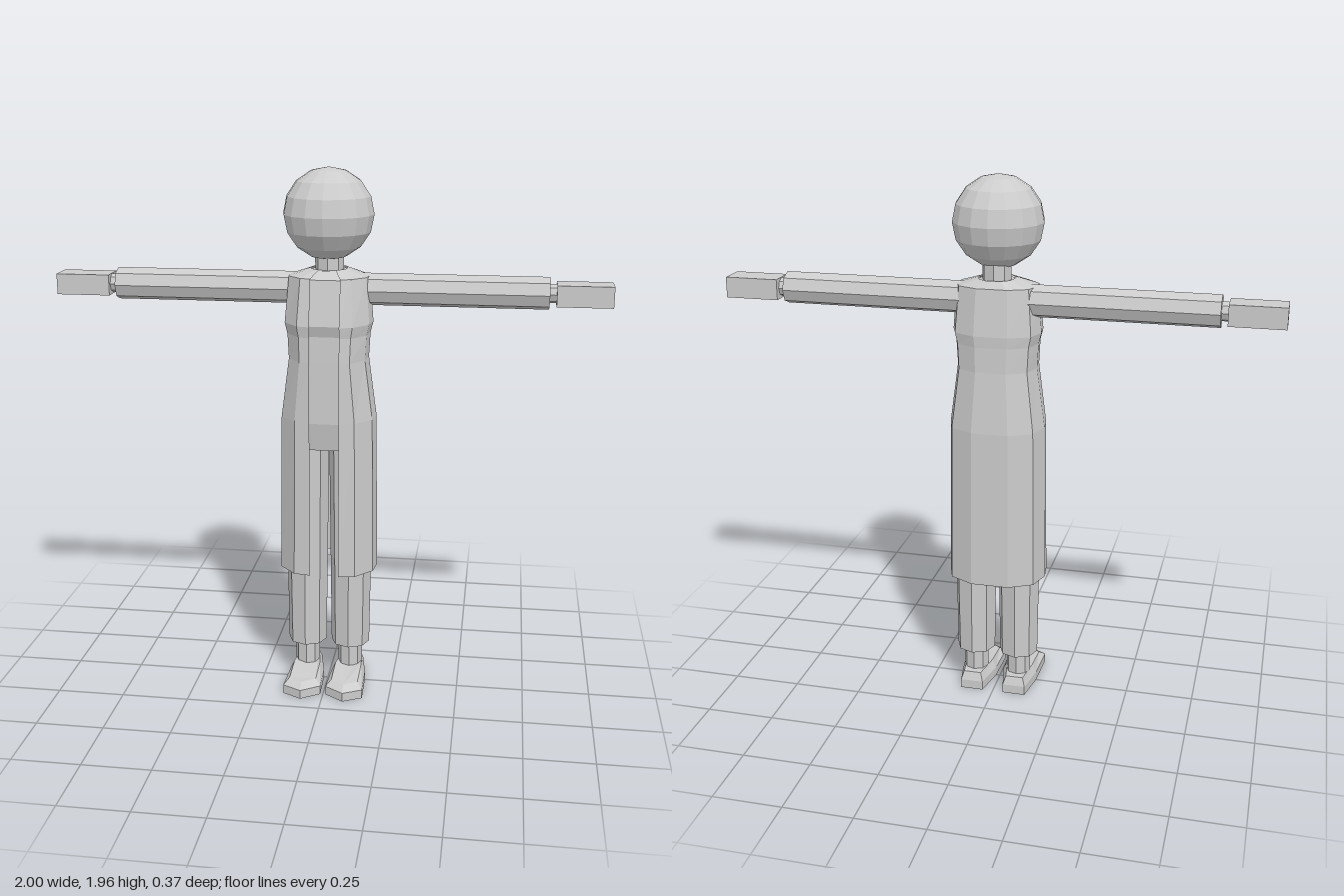
import * as THREE from 'three';

const material = new THREE.MeshStandardMaterial({ color: 0xcccccc, flatShading: true });
const clothMaterial = new THREE.MeshStandardMaterial({ color: 0xcccccc, flatShading: true, side: THREE.DoubleSide });

// Joins rings of [x, y, z] points, listed bottom to top, counterclockwise from above.
function loft(rings, closed) {
  const n = rings[0].length, pos = [];
  const tri = (a, b, c) => pos.push(...a, ...b, ...c);
  for (let i = 0; i < rings.length - 1; i++) {
    for (let j = 0; j < (closed ? n : n - 1); j++) {
      const k = (j + 1) % n, lo = rings[i], hi = rings[i + 1];
      tri(lo[j], lo[k], hi[k]);
      tri(lo[j], hi[k], hi[j]);
    }
  }
  if (closed) {
    const lo = rings[0], hi = rings[rings.length - 1];
    for (let j = 1; j < n - 1; j++) {
      tri(lo[0], lo[j + 1], lo[j]);
      tri(hi[0], hi[j], hi[j + 1]);
    }
  }
  const g = new THREE.BufferGeometry();
  g.setAttribute('position', new THREE.Float32BufferAttribute(pos, 3));
  g.computeVertexNormals();
  return g;
}

// Body cross-section: half width w, front depth f, back depth b, half opening o.
function bodyRing(y, w, f, b, o) {
  const m = -0.04, half = [
    [o, f], [Math.max(0.62 * w, o), m + 0.93 * (f - m)], [0.95 * w, m + 0.48 * (f - m)],
    [w, m], [0.85 * w, m + 0.65 * (b - m)], [0.38 * w, b],
  ];
  const mirrored = half.map(([x, z]) => [-x, z]).reverse();
  return [...half, ...mirrored].map(([x, z]) => [x, y, z]);
}

export function createModel() {
  const model = new THREE.Group();
  const add = (name, geometry, x = 0, y = 0, z = 0, mat = material) => {
    const mesh = new THREE.Mesh(geometry, mat);
    mesh.name = name;
    mesh.position.set(x, y, z);
    model.add(mesh);
    return mesh;
  };

  // Head and neck
  add('head', new THREE.SphereGeometry(0.162, 16, 8), 0, 1.793, -0.02);
  add('neck', new THREE.CylinderGeometry(0.052, 0.052, 0.12, 8), 0, 1.63, -0.045);

  // Long coat, open down the front: [height, half width, front, back]
  const coat = [
    [0.47, 0.183, 0.107, -0.168],
    [1.06, 0.175, 0.106, -0.164],
    [1.28, 0.145, 0.105, -0.145],
    [1.37, 0.15, 0.1, -0.143],
    [1.41, 0.16, 0.105, -0.145],
    [1.575, 0.146, 0.07, -0.126],
    [1.6, 0.065, 0.02, -0.105],
  ];
  add('coat', loft(coat.map(([y, w, f, b]) => bodyRing(y, w, f, b, y > 1.59 ? 0.03 : 0.053)), false),
    0, 0, 0, clothMaterial);

  // Shirt and hips seen through the opening
  const torso = [
    [0.945, 0.15, 0.06, -0.135],
    [1.05, 0.155, 0.08, -0.14],
    [1.28, 0.13, 0.08, -0.13],
    [1.37, 0.135, 0.078, -0.13],
    [1.41, 0.145, 0.092, -0.13],
    [1.57, 0.13, 0.062, -0.11],
    [1.595, 0.06, 0.015, -0.1],
  ];
  add('torso', loft(torso.map(([y, w, f, b]) => bodyRing(y, w, f, b, y > 1.59 ? 0.03 : 0.053)), true));

  // Shoe outline from the toe round the outer side: [x, z, top x, top z, top height]
  const shoe = [
    [0.08, 0.187, 0.08, 0.155, 0.054],
    [0.15, 0.15, 0.13, 0.125, 0.054],
    [0.145, 0.0, 0.13, 0.0, 0.066],
    [0.125, -0.122, 0.115, -0.11, 0.066],
    [0.04, -0.122, 0.05, -0.11, 0.066],
    [0.015, 0.0, 0.03, 0.0, 0.066],
    [0.01, 0.14, 0.03, 0.12, 0.054],
  ];

  for (const s of [1, -1]) {
    const side = s > 0 ? 'left' : 'right';

    // Arm, wrist and block hand
    const tube = (r, length) => new THREE.CylinderGeometry(r, r, length, 8).rotateZ(Math.PI / 2);
    add(side + 'Sleeve', tube(0.058, 0.66), s * 0.45, 1.525, -0.045);
    add(side + 'Wrist', tube(0.034, 0.06), s * 0.79, 1.525, -0.045);
    add(side + 'Hand', new THREE.BoxGeometry(0.196, 0.075, 0.1), s * 0.902, 1.523, -0.046);

    // Trouser leg and ankle
    add(side + 'TrouserLeg', new THREE.CylinderGeometry(0.083, 0.073, 0.8, 8), s * 0.083, 0.55, -0.038);
    add(side + 'Ankle', new THREE.CylinderGeometry(0.046, 0.046, 0.12, 8), s * 0.083, 0.11, -0.037);

    // Shoe
    const pts = s > 0 ? shoe : [...shoe].reverse();
    add(side + 'Shoe', loft([
      pts.map(([x, z]) => [s * x, 0, z]),
      pts.map(([x, z]) => [s * x, 0.034, z]),
      pts.map(([, , x, z, y]) => [s * x, y, z]),
    ], true));
  }
  return model;
}
